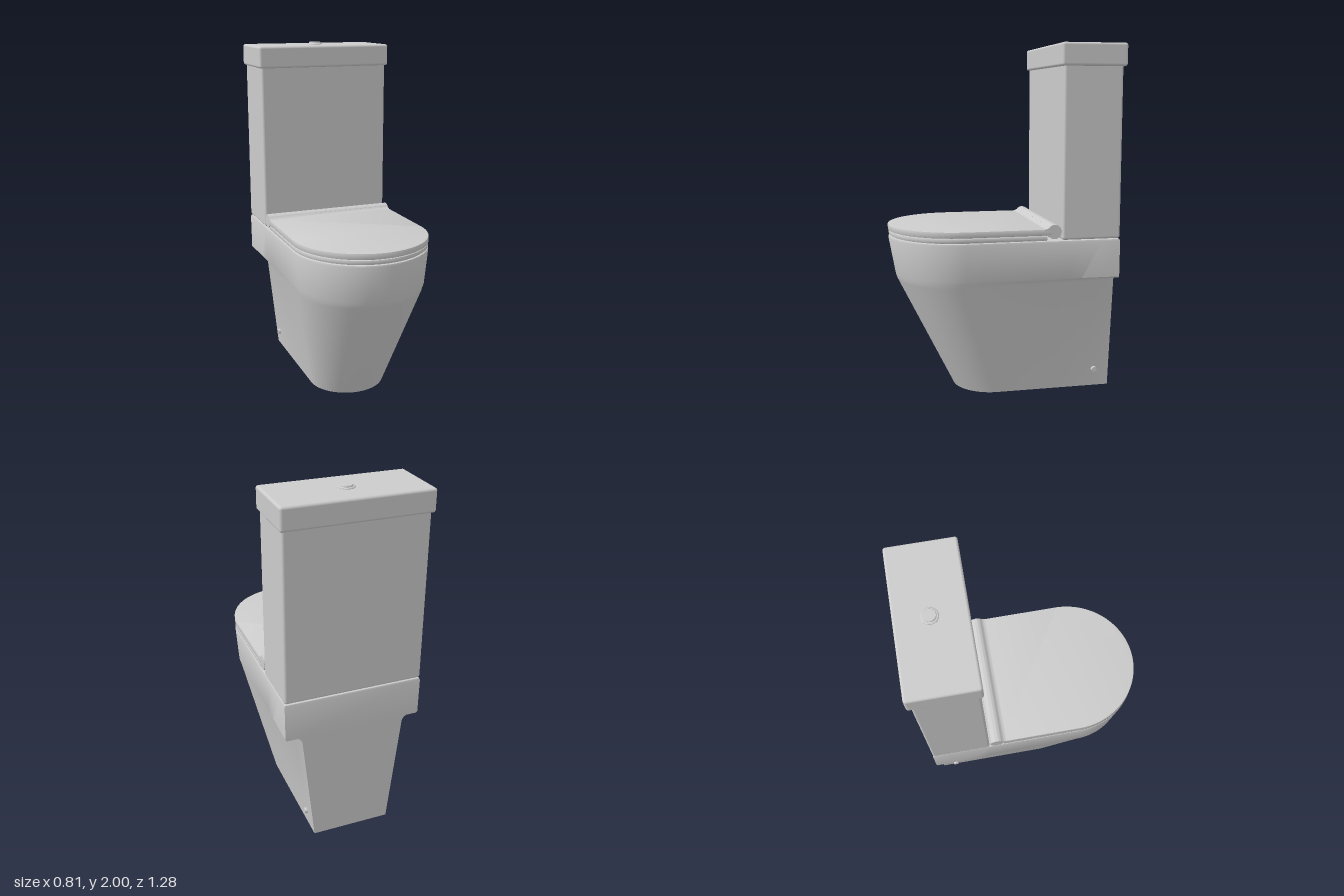
import * as THREE from 'three';
import { toCreasedNormals } from 'three/addons/utils/BufferGeometryUtils.js';
import { RoundedBoxGeometry } from 'three/addons/geometries/RoundedBoxGeometry.js';

const material = new THREE.MeshStandardMaterial({ color: 0xcccccc });
const shellMaterial = new THREE.MeshStandardMaterial({ color: 0xcccccc, side: THREE.DoubleSide });

function addPart(group, name, geometry, x = 0, y = 0, z = 0, mat = material) {
  const mesh = new THREE.Mesh(geometry, mat);
  mesh.name = name;
  mesh.position.set(x, y, z);
  group.add(mesh);
  return mesh;
}

// D-shaped ring: straight sides from the back, half ellipse round the front
function ring({ y, back, side, zMid, zFront, zBack = -0.62 }) {
  const points = [];
  const straight = 8, arc = 48;
  for (let i = 0; i < straight; i++) {
    const t = i / straight;
    points.push([back + (side - back) * t, y, zBack + (zMid - zBack) * t]);
  }
  for (let i = 0; i <= arc; i++) {
    const a = Math.PI * i / arc;
    points.push([side * Math.cos(a), y, zMid + (zFront - zMid) * Math.sin(a)]);
  }
  for (let i = straight - 1; i >= 0; i--) {
    const [x, , z] = points[i];
    points.push([-x, y, z]);
  }
  return points;
}

// Skin joining closed rings from bottom to top
function loft(sections, crease) {
  const rings = sections.map(ring);
  const n = rings[0].length;
  const index = [];
  for (let r = 0; r < rings.length - 1; r++) {
    for (let i = 0; i < n; i++) {
      const a = r * n + i, b = r * n + (i + 1) % n;
      index.push(a, a + n, b, b, a + n, b + n);
    }
  }
  const geometry = new THREE.BufferGeometry();
  geometry.setAttribute('position', new THREE.Float32BufferAttribute(rings.flat(2), 3));
  geometry.setIndex(index);
  return toCreasedNormals(geometry, crease);
}

// Flat D-shaped slab whose top is at y = 0
function slab(halfWidth, zBack, zMid, zFront, thickness, bevel) {
  const shape = new THREE.Shape();
  shape.moveTo(-halfWidth, zBack);
  shape.lineTo(halfWidth, zBack);
  shape.lineTo(halfWidth, zMid);
  shape.absellipse(0, zMid, halfWidth, zFront - zMid, 0, Math.PI, false);
  shape.closePath();
  const geometry = new THREE.ExtrudeGeometry(shape, {
    depth: thickness - 2 * bevel, curveSegments: 64, bevelEnabled: true,
    bevelSize: bevel, bevelThickness: bevel, bevelOffset: -bevel, bevelSegments: 2,
  });
  geometry.rotateX(Math.PI / 2).translate(0, -bevel, 0);
  return toCreasedNormals(geometry, 0.6);
}

// Full-width hinge roll with a concave sweep down to the lid
function hingeRoll(width) {
  const shape = new THREE.Shape();
  shape.moveTo(0.055, -0.02);
  shape.lineTo(0.055, 0.015);
  shape.quadraticCurveTo(0.038, 0.016, 0.028, 0.028);
  shape.absarc(0, 0, 0.04, Math.PI / 4, Math.PI * 1.83, false);
  shape.closePath();
  const geometry = new THREE.ExtrudeGeometry(shape, { depth: width, curveSegments: 28, bevelEnabled: false });
  geometry.translate(0, 0, -width / 2).rotateY(-Math.PI / 2);
  return toCreasedNormals(geometry, 0.6);
}

export function createModel() {
  const model = new THREE.Group();
  model.name = 'toilet';

  // Hollow pedestal flaring into the overhanging bowl rim
  addPart(model, 'pedestalAndBowl', loft([
    { y: 0, back: 0.225, side: 0.225, zMid: 0.05, zFront: 0.27 },
    { y: 0.655, back: 0.295, side: 0.365, zMid: 0.25, zFront: 0.595 },
    { y: 0.675, back: 0.305, side: 0.37, zMid: 0.25, zFront: 0.602 },
    { y: 0.685, back: 0.32, side: 0.372, zMid: 0.25, zFront: 0.604 },
    { y: 0.685, back: 0.382, side: 0.374, zMid: 0.25, zFront: 0.604 },
    { y: 0.693, back: 0.39, side: 0.376, zMid: 0.25, zFront: 0.606 },
    { y: 0.897, back: 0.392, side: 0.39, zMid: 0.25, zFront: 0.643 },
    { y: 0.907, back: 0.388, side: 0.387, zMid: 0.25, zFront: 0.64, zBack: -0.617 },
    { y: 0.91, back: 0.38, side: 0.378, zMid: 0.25, zFront: 0.63, zBack: -0.61 },
    { y: 0.91, back: 0, side: 0, zMid: 0, zFront: 0, zBack: 0 },
  ], 0.6), 0, 0, 0, shellMaterial);

  // Underside of the basin inside the hollow pedestal
  const basin = addPart(model, 'basinUnderside',
    new THREE.SphereGeometry(1, 40, 16, 0, Math.PI * 2, Math.PI / 2, Math.PI / 2),
    0, 0.66, 0.02, shellMaterial);
  basin.scale.set(0.24, 0.42, 0.3);

  // Seat, lid and hinge
  addPart(model, 'seat', slab(0.388, -0.2, 0.25, 0.64, 0.022, 0.004), 0, 0.937, 0);
  addPart(model, 'seatSpacer', slab(0.378, -0.2, 0.25, 0.63, 0.04, 0.002), 0, 0.945, 0);
  addPart(model, 'seatLid', slab(0.39, -0.22, 0.25, 0.645, 0.034, 0.004), 0, 0.975, 0);
  addPart(model, 'lidHinge', hingeRoll(0.78), 0, 0.96, -0.24);

  // Cistern with overhanging cover
  addPart(model, 'cistern', new RoundedBoxGeometry(0.784, 0.97, 0.335, 4, 0.014), 0, 1.397, -0.4525);
  addPart(model, 'cisternCover', new RoundedBoxGeometry(0.81, 0.125, 0.37, 4, 0.014), 0, 1.9225, -0.455);

  // Flush button and its collar
  const collar = [[0, 0], [0.045, 0], [0.045, 0.004], [0.04, 0.008], [0, 0.008]];
  const button = [[0, 0], [0.034, 0], [0.034, 0.012], [0.031, 0.016], [0, 0.016]];
  for (const [name, profile] of [['flushCollar', collar], ['flushButton', button]]) {
    const lathe = new THREE.LatheGeometry(profile.map(([r, h]) => new THREE.Vector2(r, h)), 40);
    addPart(model, name, toCreasedNormals(lathe, 0.5), 0, 1.984, -0.46);
  }

  // Fixing bolt caps near the floor
  for (const side of [-1, 1]) {
    const cap = new THREE.CylinderGeometry(0.015, 0.019, 0.035, 24).rotateZ(-side * Math.PI / 2);
    addPart(model, side > 0 ? 'leftBoltCap' : 'rightBoltCap', cap, side * 0.237, 0.105, -0.53);
  }

  return model;
}
